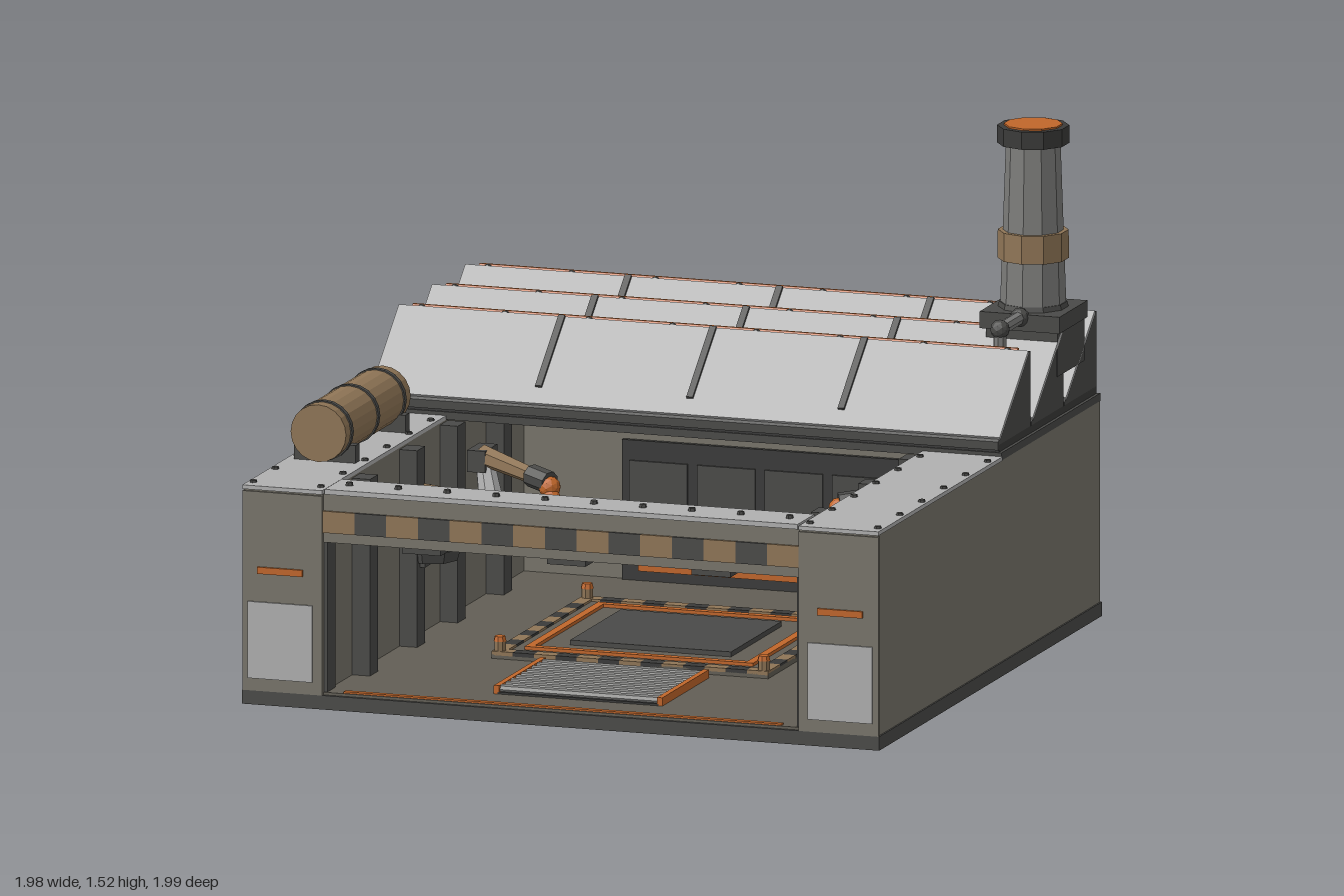
import * as THREE from 'three';

const C = { wall: 0x78746a, floor: 0x625e55, dark: 0x4a4a48, black: 0x3a3a39, light: 0xb0b0b0, steel: 0x7c7c7a, orange: 0xc0662a, tan: 0x8f7556 };
const mats = {};
const mat = (c) => (mats[c] ??= new THREE.MeshStandardMaterial({ color: C[c], flatShading: true }));

export function createModel() {
  const root = new THREE.Group();
  const add = (name, color, geo, x = 0, y = 0, z = 0, parent = root) => {
    const m = new THREE.Mesh(geo, mat(color));
    m.name = name;
    m.position.set(x, y, z);
    parent.add(m);
    return m;
  };
  // Box given by its min and max on each axis
  const box = (name, color, x0, x1, y0, y1, z0, z1, parent) =>
    add(name, color, new THREE.BoxGeometry(x1 - x0, y1 - y0, z1 - z0), (x0 + x1) / 2, (y0 + y1) / 2, (z0 + z1) / 2, parent);
  // The same box on both sides of x = 0
  const pair = (name, color, x0, x1, ...r) => {
    box(name, color, x0, x1, ...r);
    box(name, color, -x1, -x0, ...r);
  };
  const cyl = (name, color, r0, r1, y0, y1, x, z, n = 10, parent) =>
    add(name, color, new THREE.CylinderGeometry(r1, r0, y1 - y0, n), x, (y0 + y1) / 2, z, parent);
  const ball = (name, color, r, x, y, z, parent) => add(name, color, new THREE.IcosahedronGeometry(r, 1), x, y, z, parent);
  // Cylinder between two points
  const rod = (name, color, a, b, r0, r1 = r0, n = 8, parent = root) => {
    const p = new THREE.Vector3(...a), q = new THREE.Vector3(...b);
    const m = add(name, color, new THREE.CylinderGeometry(r1, r0, p.distanceTo(q), n), 0, 0, 0, parent);
    m.position.lerpVectors(p, q, 0.5);
    m.quaternion.setFromUnitVectors(new THREE.Vector3(0, 1, 0), q.sub(p).normalize());
    return m;
  };
  const rivet = (x, y, z) => add('rivet', 'dark', new THREE.CylinderGeometry(0.01, 0.012, 0.012, 6), x, y, z);

  // Base and walls
  box('base', 'dark', -0.99, 0.99, 0, 0.042, -0.99, 0.99);
  box('floor', 'floor', -0.75, 0.75, 0.042, 0.05, -0.8, 0.98);
  box('threshold', 'orange', -0.68, 0.68, 0.042, 0.055, 0.955, 0.975);
  pair('sideWall', 'wall', 0.74, 0.985, 0.042, 0.645, -0.985, 0.985);
  pair('wallCap', 'light', 0.74, 0.988, 0.645, 0.657, -0.11, 0.992);
  box('backWall', 'wall', -0.74, 0.74, 0.042, 0.645, -0.98, -0.8);
  pair('backSeam', 'dark', 0.738, 0.745, 0.042, 0.645, -0.988, -0.98);
  for (const s of [-1, 1]) {
    for (let i = 0; i < 6; i++) for (const x of [0.76, 0.97]) rivet(s * x, 0.658, -0.03 + i * 0.195);
  }

  // Front piers
  pair('frontPier', 'wall', 0.74, 0.988, 0.042, 0.64, 0.98, 0.992);
  pair('pierPanel', 'light', 0.77, 0.97, 0.08, 0.31, 0.99, 0.998);
  pair('pierLight', 'orange', 0.8, 0.94, 0.395, 0.415, 0.99, 1.0);

  // Lintel with hazard stripes
  box('lintel', 'dark', -0.74, 0.74, 0.5, 0.645, 0.835, 0.975);
  box('lintelFace', 'wall', -0.74, 0.74, 0.5, 0.645, 0.97, 0.98);
  box('lintelCap', 'light', -0.735, 0.735, 0.645, 0.66, 0.835, 0.985);
  for (let i = 0; i < 15; i++) {
    const x = -0.74 + i * 1.48 / 15;
    box('lintelStripe', i % 2 ? 'dark' : 'tan', x, x + 1.48 / 15, 0.53, 0.595, 0.975, 0.988);
  }
  for (let i = 0; i < 10; i++) rivet(-0.684 + i * 0.152, 0.664, 0.91);
  for (const x of [-0.45, 0, 0.45]) box('lintelLamp', 'dark', x - 0.06, x + 0.06, 0.475, 0.5, 0.86, 0.94);
  pair('doorPost', 'dark', 0.73, 0.742, 0.042, 0.5, 0.9, 0.975);

  // Interior columns
  for (const z of [0.69, 0.27, -0.09, -0.5]) pair('column', 'dark', 0.685, 0.74, 0.05, 0.64, z - 0.035, z + 0.035);

  // Rear gate and barrier
  box('rearGate', 'black', -0.43, 0.43, 0.05, 0.47, -0.8, -0.785);
  for (let i = 0; i < 4; i++) {
    const x = -0.315 + i * 0.21;
    box('gatePanel', 'dark', x - 0.09, x + 0.09, 0.19, 0.41, -0.787, -0.778);
  }
  box('barrier', 'orange', -0.37, 0.37, 0.085, 0.16, -0.785, -0.755);

  // Platform with striped border, orange guide line and pad
  const X = 0.43, Z0 = -0.44, Z1 = 0.375;
  box('platform', 'floor', -X, X, 0.05, 0.065, Z0, Z1);
  const strip = (n, a, b, make) => {
    for (let i = 0; i < n; i++) make(i % 2 ? 'black' : 'tan', a + (b - a) * i / n, a + (b - a) * (i + 1) / n);
  };
  strip(13, -X, X, (c, a, b) => {
    box('platformStripe', c, a, b, 0.06, 0.072, Z1 - 0.04, Z1);
    box('platformStripe', c, a, b, 0.06, 0.072, Z0, Z0 + 0.04);
  });
  strip(11, Z0 + 0.04, Z1 - 0.04, (c, a, b) => pair('platformStripe', c, X - 0.04, X, 0.06, 0.072, a, b));
  pair('guideLine', 'orange', 0.33, 0.355, 0.06, 0.075, -0.36, 0.295);
  for (const z of [-0.36, 0.27]) box('guideLine', 'orange', -0.33, 0.33, 0.06, 0.075, z, z + 0.025);
  box('liftPad', 'dark', -0.25, 0.25, 0.06, 0.08, -0.26, 0.19);
  for (const x of [-0.41, 0.41]) for (const z of [-0.42, 0.355]) {
    cyl('cornerPost', 'tan', 0.018, 0.018, 0.05, 0.1, x, z, 8);
    cyl('cornerLamp', 'orange', 0.02, 0.016, 0.1, 0.115, x, z, 8);
  }

  // Floor grate
  box('gratePit', 'black', -0.25, 0.25, 0.045, 0.056, 0.42, 0.835);
  pair('grateRail', 'orange', 0.245, 0.262, 0.05, 0.075, 0.42, 0.835);
  for (let i = 0; i < 9; i++) {
    const z = 0.445 + i * 0.046;
    rod('grateBar', 'steel', [-0.245, 0.062, z], [0.245, 0.062, z], 0.014);
  }

  // Four robot arms, mirrored in x and about the platform centre
  for (const sx of [1, -1]) for (const sz of [1, -1]) {
    const arm = new THREE.Group();
    arm.name = 'robotArm';
    root.add(arm);
    const P = (x, y, z) => [sx * x, y, -0.035 + sz * (z + 0.035)];
    const [bx, , bz] = P(0.67, 0, 0.22);
    box('armBracket', 'dark', Math.min(bx, sx * 0.74), Math.max(bx, sx * 0.74), 0.285, 0.32, bz - 0.06, bz + 0.06, arm);
    cyl('armBase', 'dark', 0.08, 0.09, 0.3, 0.335, bx, bz, 8, arm);
    cyl('armTurntable', 'steel', 0.07, 0.06, 0.335, 0.365, bx, bz, 8, arm);
    rod('upperArm', 'light', P(0.66, 0.35, 0.22), P(0.695, 0.49, 0.25), 0.04, 0.028, 8, arm);
    const [hx, , hz] = P(0.705, 0, 0.26);
    box('shoulder', 'dark', hx - 0.028, hx + 0.028, 0.455, 0.52, hz - 0.055, hz + 0.055, arm);
    rod('forearm', 'tan', P(0.7, 0.5, 0.245), P(0.5, 0.465, 0.155), 0.032, 0.024, 6, arm);
    rod('elbow', 'dark', P(0.52, 0.468, 0.165), P(0.45, 0.458, 0.13), 0.034, 0.034, 8, arm);
    ball('wrist', 'orange', 0.033, ...P(0.45, 0.445, 0.13), arm);
    rod('tool', 'orange', P(0.45, 0.44, 0.13), P(0.435, 0.405, 0.12), 0.022, 0.022, 8, arm);
    ball('toolTip', 'orange', 0.028, ...P(0.44, 0.415, 0.115), arm);
  }

  // Sawtooth roof
  box('roofSlab', 'dark', -0.985, 0.985, 0.645, 0.668, -0.99, -0.11);
  box('roofDeck', 'black', -0.975, 0.975, 0.668, 0.69, -0.985, -0.115);
  for (const z of [-0.11, -0.405, -0.7]) {
    const tooth = new THREE.Group();
    tooth.name = 'roofTooth';
    tooth.position.z = z;
    root.add(tooth);
    const shape = new THREE.Shape([[0, 0.675], [0.285, 0.675], [0.285, 0.915], [0.265, 0.915], [0, 0.7]].map((p) => new THREE.Vector2(...p)));
    const geo = new THREE.ExtrudeGeometry(shape, { depth: 1.95, bevelEnabled: false });
    geo.rotateY(Math.PI / 2);
    add('toothBody', 'dark', geo, -0.975, 0, 0, tooth);
    // Sloped panel with its ribs
    const slope = new THREE.Group();
    slope.name = 'slope';
    slope.position.set(0, 0.811, -0.136);
    slope.rotation.x = Math.atan2(0.215, 0.265);
    tooth.add(slope);
    box('slopePanel', 'light', -0.978, 0.978, -0.004, 0.008, -0.165, 0.165, slope);
    for (const x of [-0.47, 0, 0.47]) box('slopeRib', 'dark', x - 0.01, x + 0.01, 0.005, 0.016, -0.165, 0.105, slope);
    // Ridge pipe with clamps
    rod('ridgePipe', 'orange', [-0.94, 0.915, -0.278], [0.94, 0.915, -0.278], 0.009, 0.009, 6, tooth);
    for (let i = 0; i < 8; i++) ball('ridgeClamp', 'dark', 0.012, -0.91 + i * 0.26, 0.913, -0.268, tooth);
    // Rear glazing
    for (let i = 0; i < 8; i++) {
      const x = -0.96 + i * 0.24;
      box('glazing', 'orange', x + 0.012, x + 0.228, 0.71, 0.895, -0.289, -0.283, tooth);
    }
    for (let i = 0; i < 9; i++) {
      const x = -0.96 + i * 0.24;
      box('mullion', 'dark', x - 0.011, x + 0.011, 0.69, 0.91, -0.293, -0.283, tooth);
    }
  }

  // Chimney with side pipe
  const cx = 0.86, cz = -0.75;
  box('chimneyBase', 'dark', 0.755, 0.978, 0.79, 0.92, cz - 0.12, cz + 0.12);
  box('chimneyPlinth', 'dark', 0.737, 0.985, 0.92, 0.97, cz - 0.125, cz + 0.125);
  cyl('chimneyFoot', 'dark', 0.105, 0.1, 0.965, 0.985, cx, cz);
  cyl('chimneyStack', 'steel', 0.097, 0.08, 0.98, 1.47, cx, cz);
  cyl('chimneyBand', 'tan', 0.105, 0.104, 1.115, 1.2, cx, cz);
  cyl('chimneyRim', 'black', 0.106, 0.106, 1.46, 1.513, cx, cz);
  cyl('chimneyGlow', 'orange', 0.086, 0.086, 1.5, 1.518, cx, cz);
  rod('sidePipe', 'steel', [cx, 0.96, -0.64], [cx, 0.96, -0.455], 0.02);
  rod('sidePipe', 'steel', [cx, 0.96, -0.455], [cx, 0.68, -0.455], 0.02);
  for (const z of [-0.63, -0.455]) ball('pipeJoint', 'dark', 0.029, cx, 0.96, z);

  // Roof tank on saddles
  const tx = -0.868, ty = 0.752;
  rod('tank', 'tan', [tx, ty, 0.085], [tx, ty, 0.66], 0.086, 0.086, 20);
  for (const z of [0.14, 0.375, 0.61]) rod('tankBand', 'dark', [tx, ty, z - 0.009], [tx, ty, z + 0.009], 0.09, 0.09, 20);
  for (const z of [0.14, 0.585]) box('tankSaddle', 'dark', tx - 0.095, tx + 0.095, 0.655, 0.71, z - 0.018, z + 0.018);
  return root;
}
